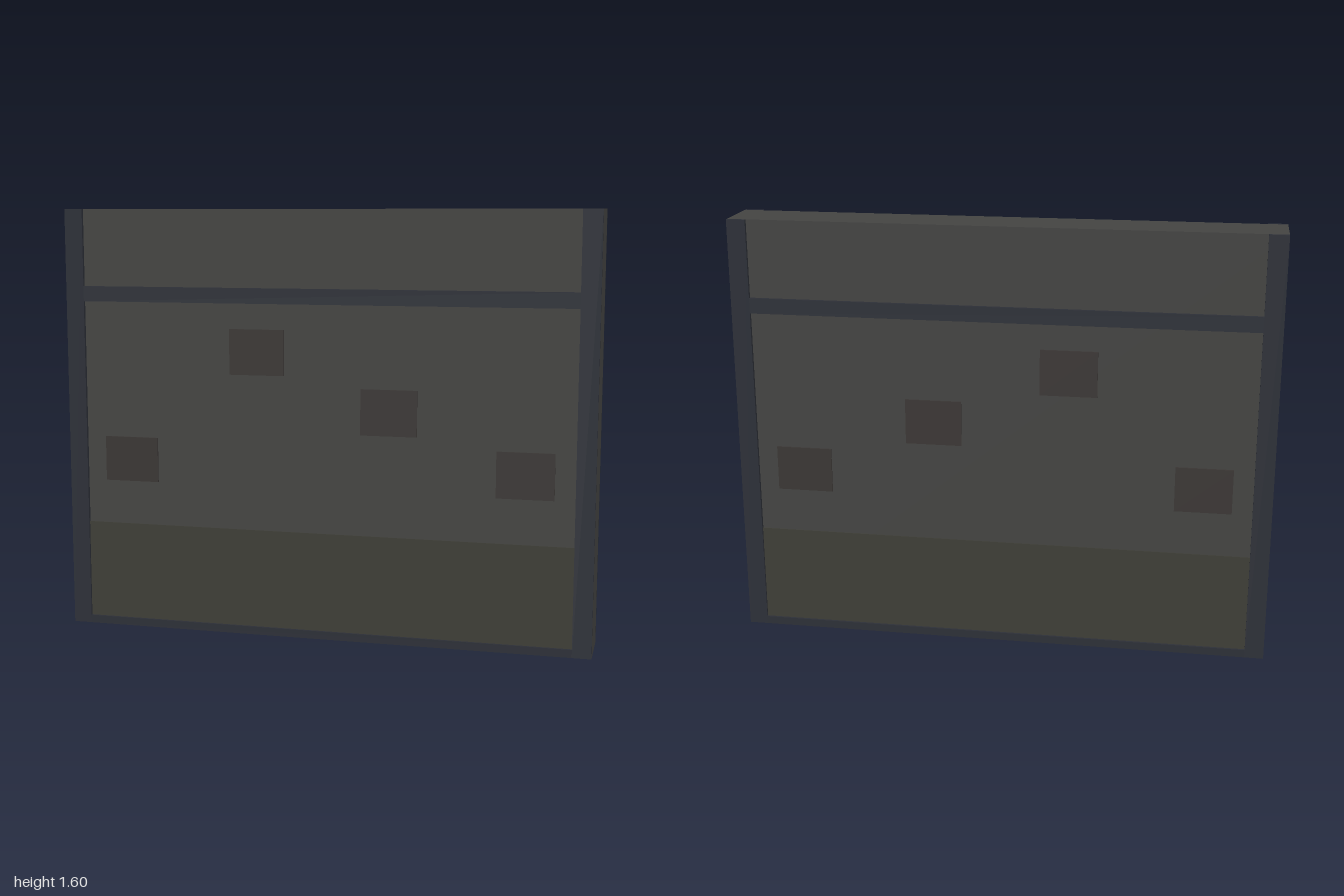
import * as THREE from 'three';

const mat = (color) => new THREE.MeshStandardMaterial({ color });

export function createModel() {
  const group = new THREE.Group();
  const stone = mat(0x444442);
  const trim = mat(0x2d3038);
  const plinth = mat(0x3e3e37);
  const brick = mat(0x3b3735);

  const SLAB = 0.1; // half depth of the wall
  const TRIM = 0.112; // half depth at the trim faces

  // Box given by its x, y and z limits
  function box(name, material, [x0, x1], [y0, y1], [z0, z1]) {
    const mesh = new THREE.Mesh(new THREE.BoxGeometry(x1 - x0, y1 - y0, z1 - z0), material);
    mesh.position.set((x0 + x1) / 2, (y0 + y1) / 2, (z0 + z1) / 2);
    mesh.name = name;
    group.add(mesh);
  }

  // Wall slab
  box('wallSlab', stone, [-1, 1], [0, 1.6], [-SLAB, SLAB]);

  // The same relief on the front and the back
  for (const [side, s] of [['front', 1], ['back', -1]]) {
    const depth = (d) => (s > 0 ? [SLAB, d] : [-d, -SLAB]);

    // Corner posts
    box(side + 'LeftPost', trim, [0.93, 1], [0, 1.6], depth(TRIM));
    box(side + 'RightPost', trim, [-1, -0.93], [0, 1.6], depth(TRIM));

    // Horizontal rails
    box(side + 'UpperRail', trim, [-0.93, 0.93], [1.255, 1.312], depth(TRIM));
    box(side + 'BottomRail', trim, [-0.93, 0.93], [0, 0.03], depth(TRIM));

    // Lower panel
    box(side + 'LowerPanel', plinth, [-0.93, 0.93], [0.03, 0.403], depth(0.104));

    // Raised bricks
    for (const [x, y] of [[-0.75, 0.655], [-0.25, 1.075], [0.25, 0.865], [0.75, 0.655]]) {
      box(side + 'Brick', brick, [x - 0.105, x + 0.105], [y - 0.085, y + 0.085], depth(0.106));
    }
  }
  return group;
}
